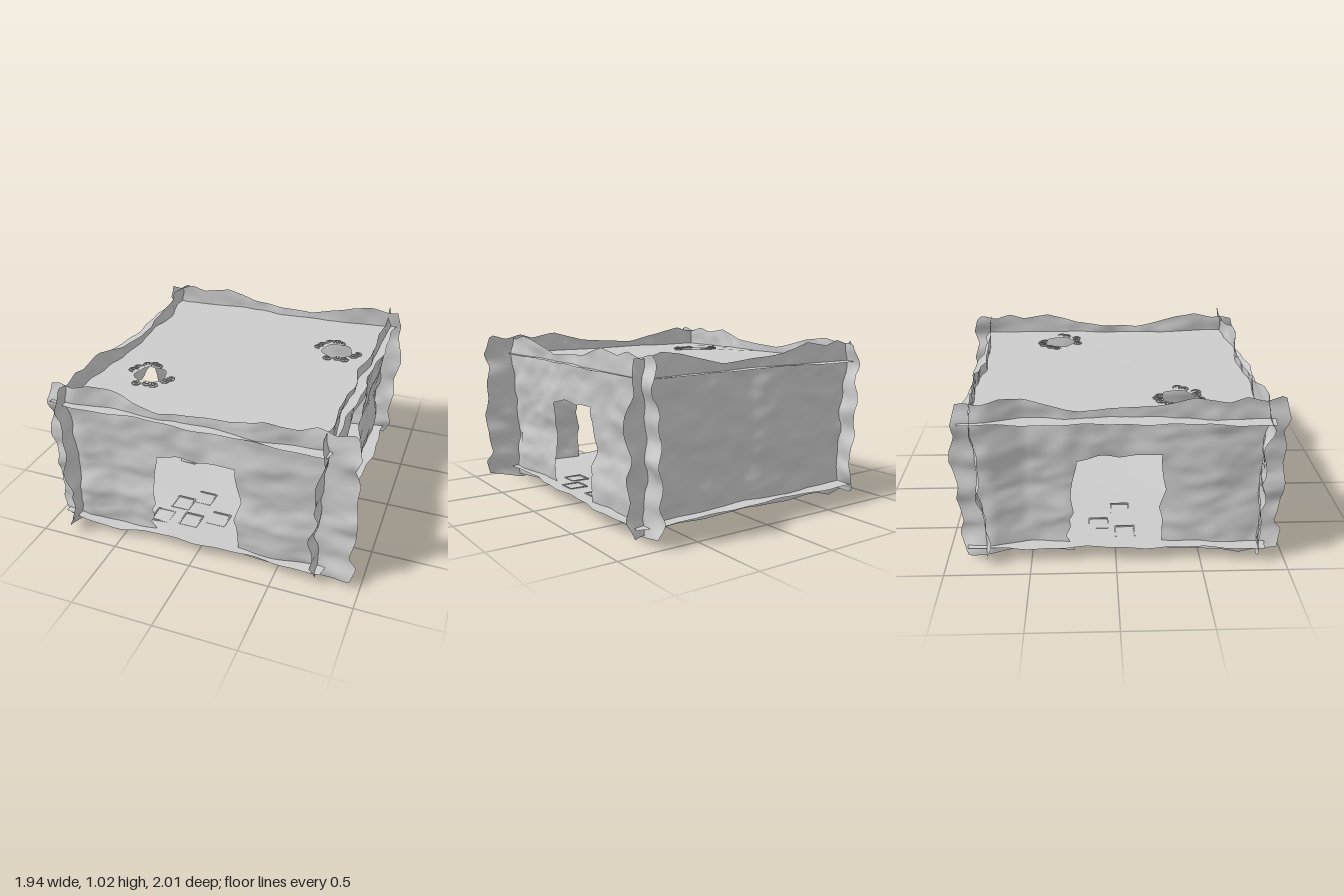
import * as THREE from 'three';

const cloth = new THREE.MeshStandardMaterial({ color: 0xcccccc, side: THREE.DoubleSide });

// Piecewise linear profile through [position, value] pairs
function profile(points) {
  return (t) => {
    if (t <= points[0][0]) return points[0][1];
    for (let i = 1; i < points.length; i++) {
      const [a, va] = points[i - 1], [b, vb] = points[i];
      if (t <= b) return va + (vb - va) * (t - a) / (b - a);
    }
    return points[points.length - 1][1];
  };
}

// Smooth seeded noise in -1..1
function noise(x, y, seed) {
  const hash = (i, j) => {
    const h = Math.sin(i * 127.1 + j * 311.7 + seed * 74.7) * 43758.5453;
    return 2 * (h - Math.floor(h)) - 1;
  };
  const i = Math.floor(x), j = Math.floor(y);
  const u = THREE.MathUtils.smoothstep(x - i, 0, 1), v = THREE.MathUtils.smoothstep(y - j, 0, 1);
  return THREE.MathUtils.lerp(
    THREE.MathUtils.lerp(hash(i, j), hash(i + 1, j), u),
    THREE.MathUtils.lerp(hash(i, j + 1), hash(i + 1, j + 1), u), v);
}

// Ragged outline of a wall and its doorway, s along the wall, y up
const topEdge = profile([[-0.95, 0.99], [-0.86, 1.01], [-0.78, 1], [-0.66, 1.03], [-0.52, 1.01], [-0.4, 0.98],
  [-0.23, 0.94], [0, 0.955], [0.2, 0.97], [0.42, 1.03], [0.6, 1], [0.7, 1.03], [0.8, 1], [0.9, 1.03], [0.95, 0.99]]);
const bottomEdge = profile([[-0.95, 0.07], [-0.88, 0.035], [-0.6, 0.055], [-0.28, 0.045], [0.25, 0.05],
  [0.6, 0.045], [0.72, 0.01], [0.8, 0.03], [0.95, 0.06]]);
const leftEdge = profile([[0.05, -0.9], [0.15, -0.95], [0.25, -0.92], [0.4, -0.95], [0.5, -0.93], [0.65, -0.975],
  [0.72, -0.97], [0.82, -0.93], [0.9, -0.94], [1, -0.91]]);
const rightEdge = profile([[0.05, 0.94], [0.14, 0.97], [0.2, 0.92], [0.32, 0.95], [0.46, 0.96], [0.58, 0.94],
  [0.7, 0.95], [0.8, 0.92], [0.9, 0.95], [1, 0.92]]);
const doorLeft = profile([[0.06, -0.27], [0.14, -0.32], [0.2, -0.29], [0.27, -0.3], [0.29, -0.27], [0.4, -0.29], [0.5, -0.28], [0.62, -0.25]]);
const doorRight = profile([[0.06, 0.25], [0.25, 0.25], [0.3, 0.23], [0.42, 0.27], [0.5, 0.25], [0.6, 0.24], [0.67, 0.24]]);
const doorTop = profile([[-0.25, 0.63], [-0.11, 0.665], [0, 0.64], [0.1, 0.665], [0.24, 0.67]]);

// Outward bend of each wall along its length (bend) and up its height (lean)
const walls = [
  { name: 'frontWall', door: true, x: 0, z: 0.84, turn: 0, width: 1, seed: 1,
    bend: [[-0.9, -0.01], [-0.75, 0.015], [-0.55, -0.02], [-0.4, -0.01], [-0.2, 0.01], [0.05, -0.02], [0.35, 0.02], [0.5, 0.01], [0.75, -0.02], [0.95, 0]],
    lean: [[0.05, -0.01], [0.3, 0.015], [0.45, -0.015], [0.6, 0], [0.9, 0]] },
  { name: 'leftWall', door: true, x: 0.74, z: -0.025, turn: Math.PI / 2, width: 1.02, seed: 2,
    bend: [[-0.9, 0], [-0.75, 0.02], [-0.5, -0.015], [-0.35, -0.015], [-0.2, 0], [0, -0.03], [0.2, 0.01], [0.4, 0], [0.7, 0.005], [0.95, 0]],
    lean: [[0.05, -0.02], [0.2, 0], [0.4, -0.03], [0.6, 0], [0.9, 0.01]] },
  { name: 'rightWall', door: true, x: -0.8, z: 0.025, turn: -Math.PI / 2, width: 1, seed: 3,
    bend: [[-0.9, 0], [-0.75, 0.02], [-0.55, -0.03], [-0.3, 0], [-0.05, -0.035], [0.05, -0.03], [0.3, 0], [0.55, 0.02], [0.8, 0], [0.95, 0]],
    lean: [[0.05, 0.01], [0.45, -0.02], [0.7, 0], [0.9, 0]] },
  { name: 'backWall', door: false, x: -0.03, z: -0.82, turn: Math.PI, width: 0.925, seed: 4,
    bend: [[-0.83, 0.05], [-0.7, 0.035], [-0.5, 0.01], [-0.2, 0], [0, -0.02], [0.1, 0.01], [0.3, 0.02], [0.5, -0.01], [0.8, -0.02], [0.9, -0.05]],
    lean: [[0.1, -0.035], [0.5, -0.01], [0.9, 0.005]] },
];

// Grid of cells from rule(i, j), leaving out those where skip(i, j) is true
function sheet(name, cols, rows, rule, skip = () => false) {
  const positions = [], index = [];
  for (let j = 0; j <= rows; j++) for (let i = 0; i <= cols; i++) {
    positions.push(...rule(i, j));
    if (i === cols || j === rows || skip(i, j)) continue;
    const a = j * (cols + 1) + i, b = a + 1, c = a + cols + 1, d = c + 1;
    index.push(a, b, d, a, d, c);
  }
  const g = new THREE.BufferGeometry();
  g.setAttribute('position', new THREE.Float32BufferAttribute(positions, 3));
  g.setIndex(index);
  g.computeVertexNormals();
  const mesh = new THREE.Mesh(g, cloth);
  mesh.name = name;
  return mesh;
}

function wall({ name, door, x, z, turn, width, seed, bend, lean }) {
  const side = 24, mid = 16, low = 26, high = 14;
  const along = profile(bend), up = profile(lean);
  // Irregular wrinkles, with stronger curl at the two ends
  const crease = (s, y) => {
    const end = THREE.MathUtils.smoothstep(Math.abs(s), 0.72, 0.95);
    return along(s) + up(y) + 0.011 * noise(6 * s + 3 * y, 8 * y - 2 * s, seed)
      + 0.006 * noise(11 * s - 6 * y, 18 * y + 3 * s, seed + 10)
      + end * (0.018 * Math.sin(15 * y + 1) + 0.01 * Math.sin(31 * y));
  };
  const rule = (i, j) => {
    const y0 = j <= low ? 0.05 + 0.6 * j / low : 0.65 + 0.35 * (j - low) / high;
    const l = leftEdge(y0) * width, r = rightEdge(y0) * width, dl = doorLeft(y0), dr = doorRight(y0);
    let s;
    if (i <= side) s = l + (dl - l) * i / side;
    else if (i <= side + mid) s = dl + (dr - dl) * (i - side) / mid;
    else s = dr + (r - dr) * (i - side - mid) / side;
    const b = bottomEdge(s), m = doorTop(s), t = topEdge(s);
    const y = j <= low ? b + (m - b) * j / low : m + (t - m) * (j - low) / high;
    return [s, y, crease(s, y)];
  };
  const mesh = sheet(name, side * 2 + mid, low + high, rule,
    (i, j) => door && j < low && i >= side && i < side + mid);
  mesh.position.set(x, 0, z);
  mesh.rotation.y = turn;
  return mesh;
}

// Wavy rectangular outline shared by floor and roof, (u, v) in -1..1
function outline(u, v) {
  const x = -0.045 + 0.835 * u + 0.012 * u * Math.sin(9 * v) + 0.006 * Math.sin(23 * v) - 0.018 * v;
  const z = 0.006 + 0.884 * v + 0.012 * v * Math.sin(8 * u + 1) + 0.005 * Math.sin(21 * u);
  return [x, z];
}
const roofY = (x, z) => 0.9 + 0.005 * Math.sin(5 * x - 1) * Math.cos(3 * z) + 0.003 * Math.sin(8 * z);

// The floor sags in its middle and dips at the front edge beside the doorway
function floorY(x, z) {
  const dip = Math.exp(-(((x + 0.52) / 0.22) ** 2)) * THREE.MathUtils.smoothstep(z, 0.5, 0.88);
  return 0.1 - 0.028 * Math.cos(1.7 * x) * Math.cos(1.6 * z) + 0.006 * Math.sin(5 * x - 1) * Math.cos(3 * z) - 0.035 * dip;
}

function floorSheet() {
  return sheet('floor', 30, 30, (i, j) => {
    const [x, z] = outline(i / 15 - 1, 1 - j / 15);
    return [x, floorY(x, z), z];
  });
}

const smokeHoles = [[-0.5, 0.38], [0.51, -0.35]];

function roofSheet() {
  const n = 40, points = [];
  for (const [u0, v0, du, dv] of [[-1, 1, 2, 0], [1, 1, 0, -2], [1, -1, -2, 0], [-1, -1, 0, 2]])
    for (let i = 0; i < n; i++) {
      const [x, z] = outline(u0 + du * i / n, v0 + dv * i / n);
      points.push(new THREE.Vector2(x, -z));
    }
  const shape = new THREE.Shape(points);
  for (const [hx, hz] of smokeHoles) {
    const ring = [];
    for (let i = 0; i < 28; i++) {
      const a = i / 28 * Math.PI * 2, r = 0.098 + 0.006 * Math.sin(5 * a);
      ring.push(new THREE.Vector2(hx + r * Math.cos(a), -hz - r * Math.sin(a)));
    }
    shape.holes.push(new THREE.Path(ring));
  }
  const g = new THREE.ShapeGeometry(shape);
  g.rotateX(-Math.PI / 2);
  const p = g.attributes.position;
  for (let i = 0; i < p.count; i++) p.setY(i, roofY(p.getX(i), p.getZ(i)));
  g.computeVertexNormals();
  const mesh = new THREE.Mesh(g, cloth);
  mesh.name = 'roof';
  return mesh;
}

// Small curled petals around a smoke hole
function petalRing(hx, hz) {
  const group = new THREE.Group();
  group.name = 'smokeHolePetals';
  const spots = [[-0.075, -0.11], [-0.03, -0.125], [0.0, -0.11], [-0.13, -0.02], [-0.115, -0.06],
    [0.14, 0.01], [0.12, 0.045], [0.075, 0.115], [0.03, 0.11], [-0.035, 0.125]];
  spots.forEach(([dx, dz], k) => {
    const out = Math.atan2(-dz, dx);
    for (const [r, arc, lift] of [[0.027, 4.4, 0.004], [0.013, 5.4, 0.01]]) {
      const petal = new THREE.Mesh(new THREE.TorusGeometry(r, 0.0035, 5, 12, arc), cloth);
      petal.name = 'petal';
      petal.rotation.set(-Math.PI / 2, 0, out - arc / 2 + 0.3 * Math.sin(k * 2));
      petal.position.set(hx + dx, roofY(hx + dx, hz + dz) + lift, hz + dz);
      group.add(petal);
    }
  });
  return group;
}

// Thin open square laid on the floor
function floorTile(x, z, bars) {
  const group = new THREE.Group();
  group.name = 'floorTile';
  const size = 0.115;
  for (let k = 0; k < bars; k++) {
    const bar = new THREE.Mesh(new THREE.BoxGeometry(size, 0.01, 0.009), cloth);
    bar.name = 'tileEdge';
    const a = k * Math.PI / 2;
    bar.rotation.y = a;
    bar.position.set(Math.sin(a) * size / 2, 0, Math.cos(a) * size / 2);
    group.add(bar);
  }
  group.position.set(x, floorY(x, z), z);
  return group;
}

export function createModel() {
  const model = new THREE.Group();
  model.name = 'clothHut';
  for (const options of walls) model.add(wall(options));
  model.add(floorSheet(), roofSheet());
  for (const [x, z] of smokeHoles) model.add(petalRing(x, z));

  // Tiles gathered inside the doorways and near the back
  const tiles = [[0.66, 0.11, 4], [0.56, 0.28, 4], [0.63, -0.14, 3], [0.42, -0.02, 4],
    [-0.13, 0.44, 3], [-0.12, 0.69, 4], [-0.31, 0.7, 4], [0.04, 0.62, 3], [-0.24, 0.54, 4],
    [-0.41, 0.04, 4], [-0.6, -0.1, 4], [-0.7, 0.06, 3], [-0.42, -0.43, 3]];
  for (const [x, z, bars] of tiles) model.add(floorTile(x, z, bars));
  return model;
}
